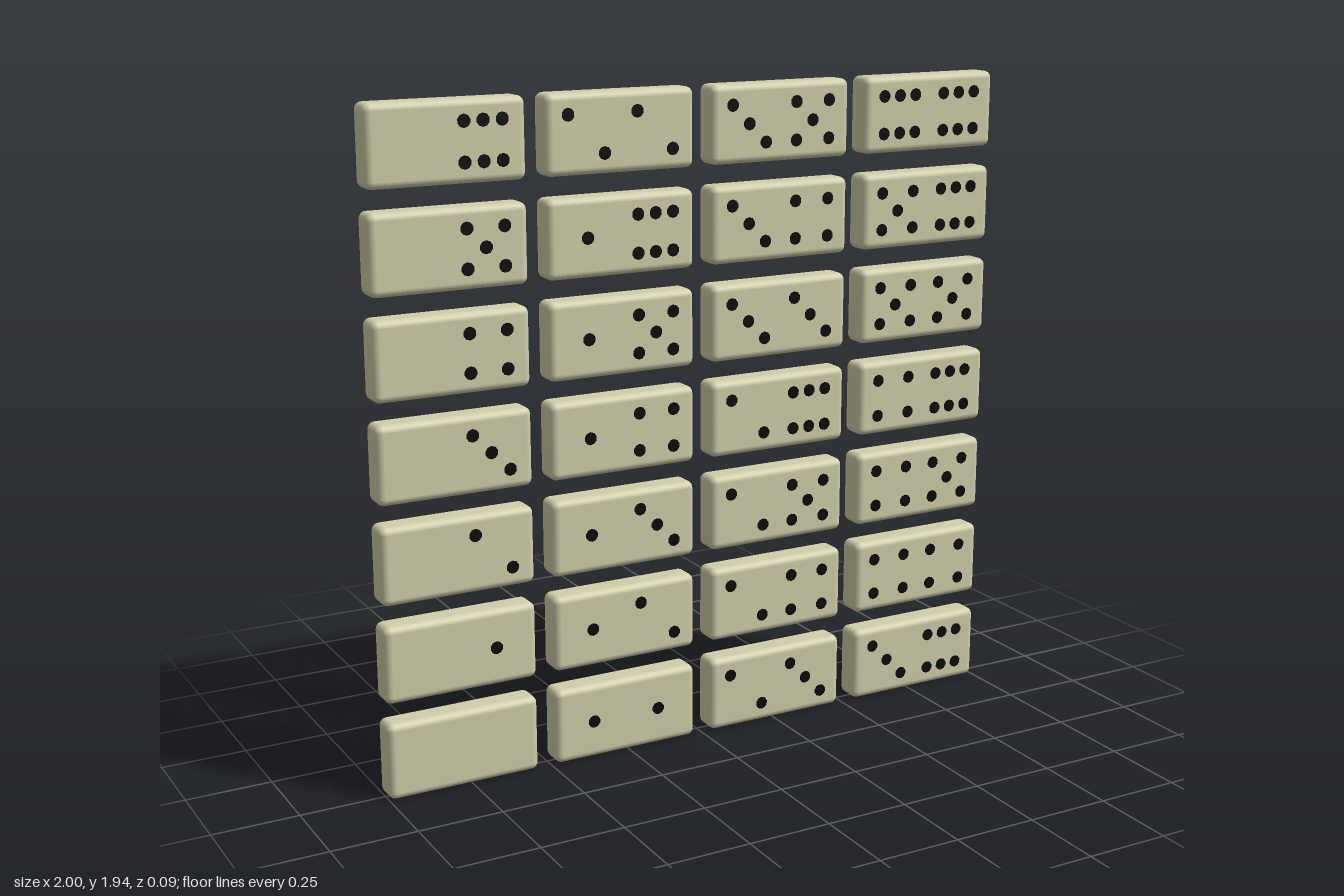
import * as THREE from 'three';
import { RoundedBoxGeometry } from 'three/addons/geometries/RoundedBoxGeometry.js';

const W = 0.457, H = 0.226, D = 0.086;      // tile size
const PITCH_X = 0.514, PITCH_Y = 0.286;     // grid spacing
const S = 0.055;                            // pip spacing

// Pip layouts for one half of a tile, in units of S
const diagonal = [[-1, 1], [1, -1]];
const corners = [...diagonal, [1, 1], [-1, -1]];
const layouts = [
  [],
  [[0, 0]],
  diagonal,
  [...diagonal, [0, 0]],
  corners,
  [...corners, [0, 0]],
  [...corners, [0, 1], [0, -1]],
];

export function createModel() {
  const ivory = new THREE.MeshStandardMaterial({ color: 0xd0ceaa });
  ivory.name = 'ivory';
  const black = new THREE.MeshStandardMaterial({ color: 0x0a0a0a });
  black.name = 'black';

  const tileGeometry = new RoundedBoxGeometry(W, H, D, 3, 0.021);
  const pipGeometry = new THREE.CylinderGeometry(0.019, 0.019, 0.004, 10).rotateX(Math.PI / 2);

  const model = new THREE.Group();
  model.name = 'dominoSet';

  // Every pair of values, filling each column of seven from the bottom up
  let index = 0;
  for (let a = 0; a <= 6; a++) {
    for (let b = a; b <= 6; b++, index++) {
      const domino = new THREE.Group();
      domino.name = `domino_${a}_${b}`;
      const column = Math.floor(index / 7), row = index % 7;
      domino.position.set((column - 1.5) * PITCH_X, H / 2 + row * PITCH_Y, 0);

      const tile = new THREE.Mesh(tileGeometry, ivory);
      tile.name = 'tile';
      domino.add(tile);

      // Pips on the left and right halves of the front
      for (const [value, centre] of [[a, -0.108], [b, 0.103]]) {
        for (const [px, py] of layouts[value]) {
          const pip = new THREE.Mesh(pipGeometry, black);
          pip.name = 'pip';
          pip.position.set(centre + px * S, py * S, D / 2);
          domino.add(pip);
        }
      }
      model.add(domino);
    }
  }
  return model;
}
